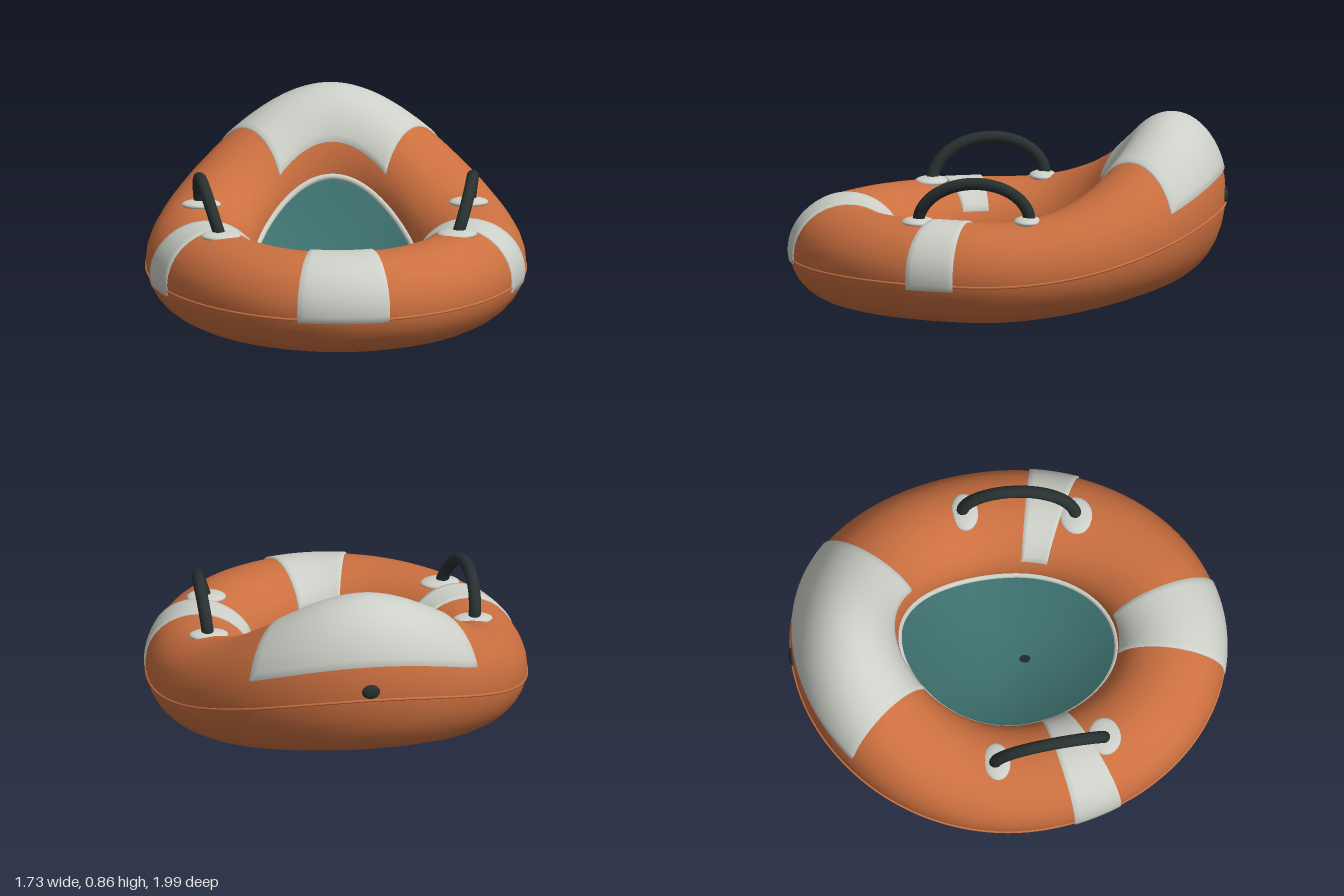
import * as THREE from 'three';
import { mergeVertices } from 'three/addons/utils/BufferGeometryUtils.js';

const mat = (name, color) => Object.assign(new THREE.MeshStandardMaterial({ color }), { name });

// Grid surface from fn(i, j) -> Vector3, smooth and welded
function grid(nu, nv, fn) {
  const pos = [], index = [];
  for (let i = 0; i <= nu; i++)
    for (let j = 0; j <= nv; j++) pos.push(...fn(i, j).toArray());
  for (let i = 0; i < nu; i++)
    for (let j = 0; j < nv; j++) {
      const a = i * (nv + 1) + j, b = a + nv + 1;
      index.push(a, b, b + 1, a, b + 1, a + 1);
    }
  let g = new THREE.BufferGeometry();
  g.setAttribute('position', new THREE.Float32BufferAttribute(pos, 3));
  g.setIndex(index);
  g = mergeVertices(g, 1e-5);
  g.computeVertexNormals();
  return g;
}

// Height and half height of the ring at angle t (0 = front, PI = raised back)
function section(t) {
  const c = Math.max(0, (0.1 - Math.cos(t)) / 1.1);
  const top = 0.452 + 0.405 * Math.pow(c, 2.4);
  const bottom = 0.125 * Math.pow(c, 1.6);
  return { mid: (top + bottom) / 2, half: (top - bottom) / 2 };
}

// Point on the inflated ring: t runs round the ring, p round the tube
function ringPoint(t, p, off = 0) {
  const { mid, half } = section(t);
  const k = (0.245 + off) * Math.cos(p);
  return new THREE.Vector3(
    (0.615 + k) * Math.sin(t), mid + (half + off) * Math.sin(p), (0.742 + k) * Math.cos(t));
}

// Thin raised patch following the ring, its outer rows dropping to the ring surface
function patchGeometry(t0, t1, p0, p1, nu, nv) {
  return grid(nu + 2, nv + 2, (i, j) => {
    const edge = i === 0 || j === 0 || i === nu + 2 || j === nv + 2;
    const u = THREE.MathUtils.clamp((i - 1) / nu, 0, 1);
    const v = THREE.MathUtils.clamp((j - 1) / nv, 0, 1);
    return ringPoint(t0 + (t1 - t0) * u, p0 + (p1 - p0) * v, edge ? -0.004 : 0.008);
  });
}

// Closed cord following the ring at tube angle p
function cordGeometry(p, radius, off) {
  const pts = [];
  for (let i = 0; i < 64; i++) pts.push(ringPoint(i / 64 * Math.PI * 2, p, off));
  return new THREE.TubeGeometry(new THREE.CatmullRomCurve3(pts, true), 128, radius, 8, true);
}

export function createModel() {
  const orange = mat('orange', 0xcc7040);
  const cream = mat('pale grey', 0xcdd0c8);
  const teal = mat('teal', 0x3b6e6c);
  teal.side = THREE.DoubleSide;
  const dark = mat('dark rubber', 0x283030);

  const group = new THREE.Group();
  const add = (name, geometry, material) => {
    const m = new THREE.Mesh(geometry, material);
    m.name = name;
    group.add(m);
    return m;
  };
  const TAU = Math.PI * 2;

  // Inflated ring and its welded seam
  add('inflatedRing', grid(112, 32, (i, j) =>
    ringPoint((i % 112) / 112 * TAU, (j % 32) / 32 * TAU)), orange);
  add('seam', cordGeometry(-0.12, 0.006, 0), orange);

  // Patches: backrest, front and both sides
  add('backrestPatch', patchGeometry(Math.PI - 0.66, Math.PI + 0.66, 0.32, 2.7, 32, 24), cream);
  add('frontPatch', patchGeometry(-0.245, 0.245, -0.17, 2.8, 12, 24), cream);
  for (const s of [1, -1]) {
    const c = s * 1.25;
    add(s > 0 ? 'leftPatch' : 'rightPatch',
      patchGeometry(c - 0.115, c + 0.115, -0.22, 2.65, 8, 24), cream);
  }

  // Sagging floor with a small drain opening, and the rim cord round it
  const drain = new THREE.Vector3(0, 0.11, 0.08);
  add('floor', grid(80, 14, (i, j) => {
    const rim = ringPoint((i % 80) / 80 * TAU, Math.PI, -0.004);
    const r = 0.05 + 0.95 * (1 - j / 14);
    return new THREE.Vector3(
      rim.x * r, drain.y + (rim.y - drain.y) * r * r, drain.z + (rim.z - drain.z) * r);
  }), teal);
  add('floorRim', cordGeometry(Math.PI, 0.015, 0), cream);

  // Grab handles with their mounting pads
  for (const s of [1, -1]) {
    const side = s > 0 ? 'left' : 'right';
    const pts = [];
    for (let i = 0; i <= 12; i++) {
      const u = i / 12, h = Math.sin(u * Math.PI);
      pts.push(new THREE.Vector3(
        s * (0.61 - 0.075 * u + 0.04 * h),
        0.465 - 0.03 * u + 0.185 * h,
        0.12 - 0.255 * Math.cos(u * Math.PI)));
    }
    add(side + 'Handle',
      new THREE.TubeGeometry(new THREE.CatmullRomCurve3(pts), 40, 0.028, 12), dark);
    for (const [name, x, y, z, rz] of [
      ['BackPad', 0.605, 0.464, -0.125, 0.062], ['FrontPad', 0.535, 0.445, 0.375, 0.075]]) {
      const pad = add(side + name, new THREE.SphereGeometry(1, 24, 12), cream);
      pad.scale.set(0.09, 0.022, rz);
      pad.position.set(s * x, y, z);
    }
  }

  // Air valve at the back
  const valve = add('airValve', new THREE.SphereGeometry(1, 20, 12), dark);
  valve.scale.set(0.042, 0.034, 0.016);
  valve.position.set(0, 0.49, -0.984);

  return group;
}
